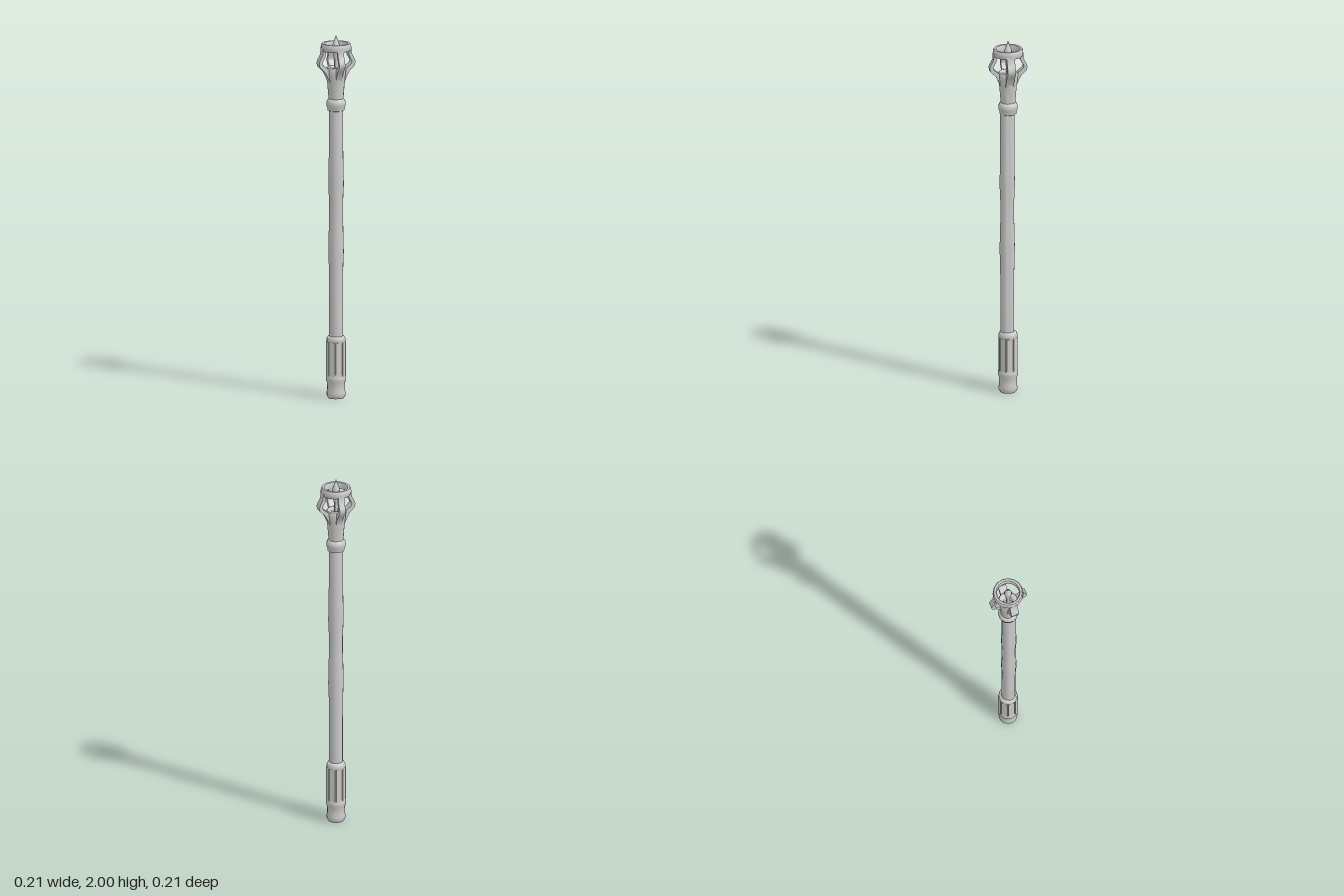
import * as THREE from 'three';
import { toCreasedNormals } from 'three/addons/utils/BufferGeometryUtils.js';

export function createModel() {
  const staff = new THREE.Group();
  staff.name = 'staff';
  const grey = new THREE.MeshStandardMaterial({ color: 0xcccccc });
  grey.name = 'pale grey';

  function add(name, geometry, x = 0, y = 0, z = 0, turn = 0) {
    const mesh = new THREE.Mesh(toCreasedNormals(geometry, 0.9), grey);
    mesh.name = name;
    mesh.position.set(x, y, z);
    mesh.rotation.y = turn;
    staff.add(mesh);
  }
  // Turned part from [radius, height] pairs, listed bottom to top
  const turned = (points, sides = 14) =>
    new THREE.LatheGeometry(points.map(([r, y]) => new THREE.Vector2(r, y)), sides);

  // Shaft, slightly uneven like carved wood
  const shaft = turned([
    [0.038, 0.3], [0.038, 0.6], [0.039, 0.72], [0.042, 0.8], [0.041, 0.88], [0.038, 0.98],
    [0.038, 1.08], [0.042, 1.17], [0.041, 1.27], [0.039, 1.36], [0.039, 1.6],
  ]);
  add('shaft', shaft, -0.001, 0, 0.004);

  // Grip: pommel, recessed core and top lip
  add('gripCore', turned([
    [0, 0.005], [0.043, 0], [0.051, 0.015], [0.051, 0.03], [0.048, 0.05], [0.049, 0.085],
    [0.055, 0.1], [0.055, 0.115], [0.047, 0.135], [0.046, 0.3], [0.051, 0.312],
    [0.051, 0.328], [0.044, 0.342], [0.036, 0.345],
  ], 16));

  // Broad flat panels around the grip, parted by narrow grooves
  for (let i = 0; i < 8; i++) {
    const a = i * Math.PI / 4;
    add('gripPanel', new THREE.BoxGeometry(0.034, 0.19, 0.012),
      Math.sin(a) * 0.044, 0.215, Math.cos(a) * 0.044, a);
  }

  // Collar and flared head with a hollow mouth
  add('collar', turned([
    [0.036, 1.58], [0.046, 1.585], [0.047, 1.6], [0.053, 1.612], [0.053, 1.63],
    [0.046, 1.645], [0.04, 1.65],
  ]));
  add('head', turned([
    [0.04, 1.63], [0.043, 1.68], [0.048, 1.74], [0.053, 1.78], [0.055, 1.81], [0.05, 1.821],
    [0.037, 1.824], [0.026, 1.816], [0.022, 1.77], [0, 1.765],
  ]));

  // Four bent prongs carrying the crown ring
  const outline = [
    [0.042, 1.74], [0.056, 1.775], [0.07, 1.8], [0.1, 1.83], [0.104, 1.85], [0.098, 1.868],
    [0.083, 1.895], [0.081, 1.93], [0.064, 1.93], [0.067, 1.888], [0.085, 1.853],
    [0.08, 1.84], [0.052, 1.817], [0.038, 1.79],
  ];
  for (let i = 0; i < 4; i++) {
    const width = i % 2 ? 0.034 : 0.044;
    const shape = new THREE.Shape(outline.map(([r, y]) => new THREE.Vector2(r, y)));
    const prong = new THREE.ExtrudeGeometry(shape, { depth: width, bevelEnabled: false });
    prong.translate(0, 0, -width / 2);
    add('prong', prong, 0, 0, 0, i * Math.PI / 2);
  }

  // Crown ring
  add('crownRing', turned([
    [0.062, 1.918], [0.079, 1.914], [0.083, 1.925], [0.082, 1.945], [0.077, 1.954],
    [0.065, 1.953], [0.06, 1.943], [0.062, 1.918],
  ], 16));

  // Central spike rising out of the mouth
  add('spike', turned([
    [0.012, 1.765], [0.012, 1.85], [0.015, 1.9], [0.022, 1.93], [0.021, 1.943],
    [0.016, 1.957], [0, 2],
  ], 8));

  return staff;
}
